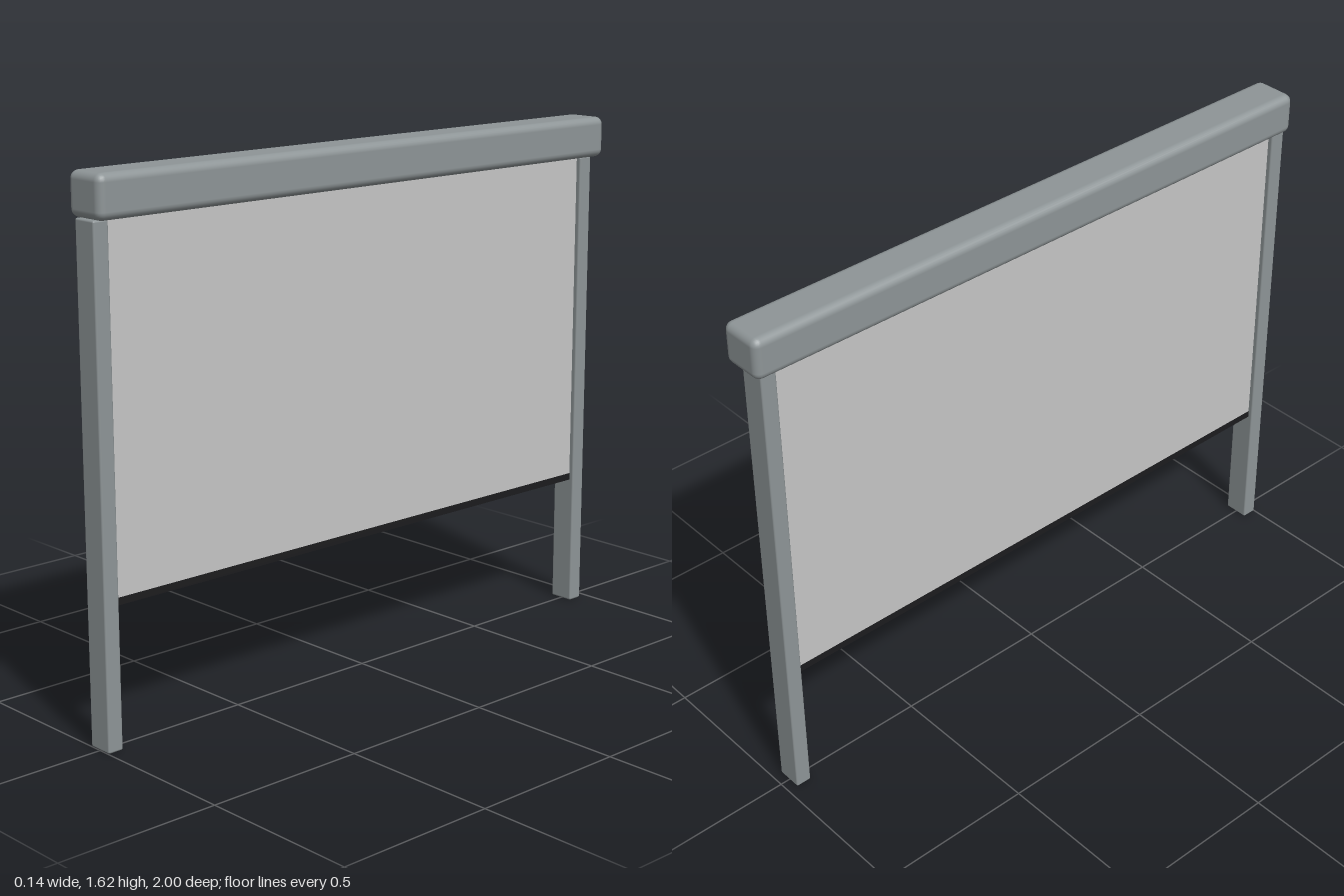
import * as THREE from 'three';
import { RoundedBoxGeometry } from 'three/addons/geometries/RoundedBoxGeometry.js';

export function createModel() {
  const model = new THREE.Group();
  model.name = 'rollerScreen';

  const material = (name, color) => {
    const m = new THREE.MeshStandardMaterial({ color });
    m.name = name;
    return m;
  };
  const metal = material('greyMetal', 0x8e9597);
  const fabric = material('lightGreyFabric', 0xc6c6c6);
  const black = material('blackTrim', 0x1c1c1e);

  const add = (name, geometry, mat, x, y, z) => {
    const mesh = new THREE.Mesh(geometry, mat);
    mesh.name = name;
    mesh.position.set(x, y, z);
    model.add(mesh);
  };

  // Long cassette along the top with softened edges
  add('cassette', new RoundedBoxGeometry(0.14, 0.127, 2, 3, 0.024), metal, 0, 1.552, 0);

  // Side guide rails, standing on the ground
  const rail = new RoundedBoxGeometry(0.082, 1.49, 0.05, 2, 0.006);
  add('frontGuideRail', rail, metal, 0, 0.745, 0.975);
  add('backGuideRail', rail, metal, 0, 0.745, -0.945);

  // Lowered fabric panel between the rails, with its weighted bottom bar
  const span = 1.88, middle = 0.015;
  add('fabricScreen', new THREE.BoxGeometry(0.05, 1.07, span), fabric, 0, 0.975, middle);
  add('bottomBar', new THREE.BoxGeometry(0.052, 0.022, span), black, 0, 0.429, middle);

  return model;
}
